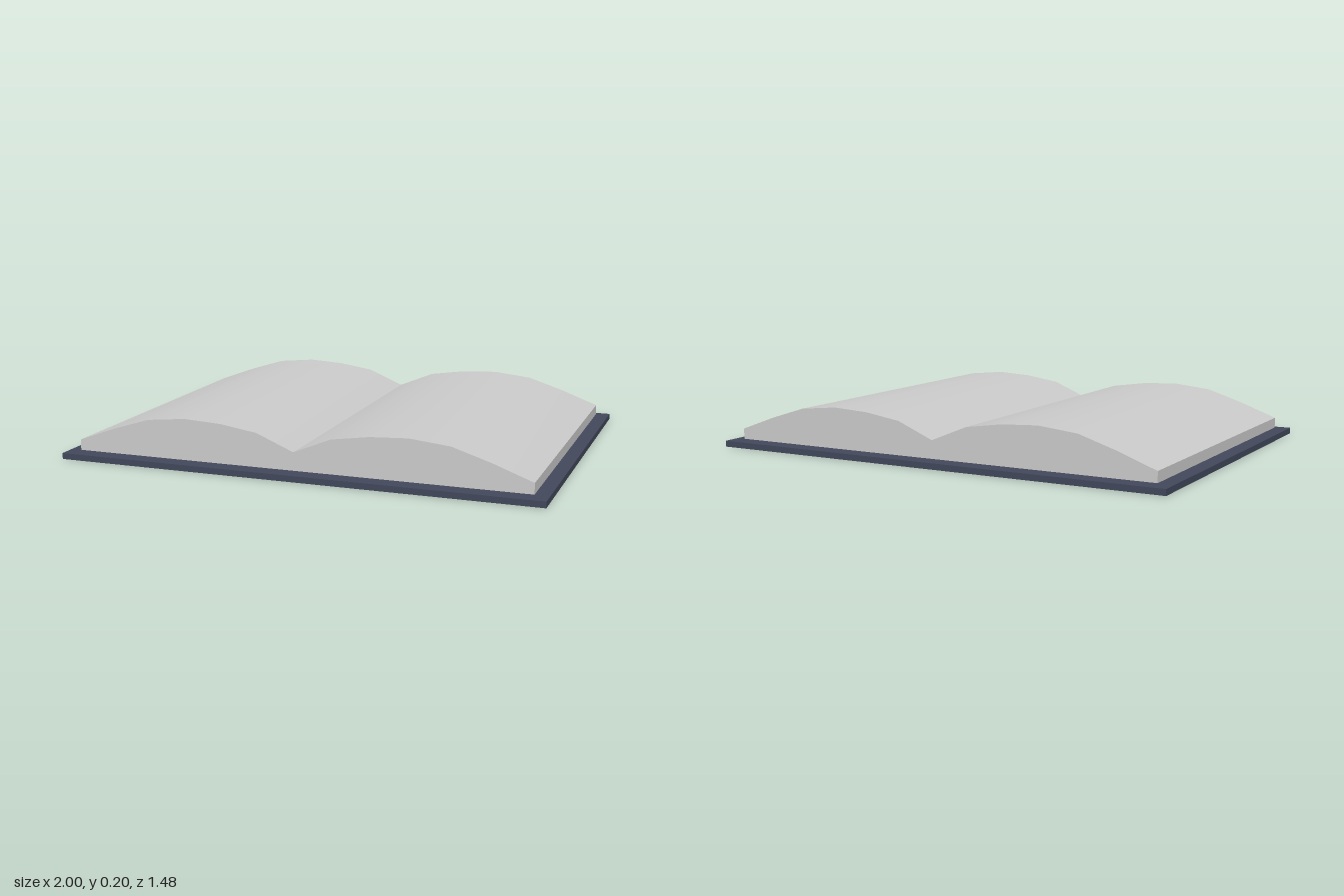
import * as THREE from 'three';
import { toCreasedNormals } from 'three/addons/utils/BufferGeometryUtils.js';

const coverBlue = new THREE.MeshStandardMaterial({ color: 0x41475a });
const paper = new THREE.MeshStandardMaterial({ color: 0xcacaca });
coverBlue.name = 'coverBlue';
paper.name = 'paper';

const EDGE_Y = 0.025, COVER_Y = 0.03;
const PAGE_X = 0.945, PAGE_Z = 0.685;

// Flat cover board whose upper rim slopes gently up to the pages
function createCover() {
  const geo = new THREE.BoxGeometry(2, 2, 1.48, 1, 2, 1);
  const pos = geo.attributes.position;
  for (let i = 0; i < pos.count; i++) {
    const level = Math.round(pos.getY(i)) + 1;
    pos.setY(i, [0, EDGE_Y, COVER_Y][level]);
    if (level === 2) {
      pos.setX(i, Math.sign(pos.getX(i)) * PAGE_X);
      pos.setZ(i, Math.sign(pos.getZ(i)) * PAGE_Z);
    }
  }
  const mesh = new THREE.Mesh(toCreasedNormals(geo, 0.05), coverBlue);
  mesh.name = 'cover';
  return mesh;
}

// Both page stacks: a mirrored arched profile extruded along z
function createPages() {
  const arch = [[0.155, 0.168], [0.31, 0.191], [0.465, 0.199], [0.63, 0.182], [0.785, 0.133], [PAGE_X, 0.074]];
  const points = [
    [-PAGE_X, COVER_Y], [PAGE_X, COVER_Y],
    ...[...arch].reverse(),
    [0, 0.104],
    ...arch.map(([x, y]) => [-x, y]),
  ].map(([x, y]) => new THREE.Vector2(x, y));
  const geo = new THREE.ExtrudeGeometry(new THREE.Shape(points), { depth: 2 * PAGE_Z, bevelEnabled: false });
  geo.translate(0, 0, -PAGE_Z);
  // Smooth across the arches, sharp at the gutter and outer edges
  const mesh = new THREE.Mesh(toCreasedNormals(geo, 0.5), paper);
  mesh.name = 'pages';
  return mesh;
}

export function createModel() {
  const book = new THREE.Group();
  book.name = 'openBook';
  book.add(createCover(), createPages());
  return book;
}
